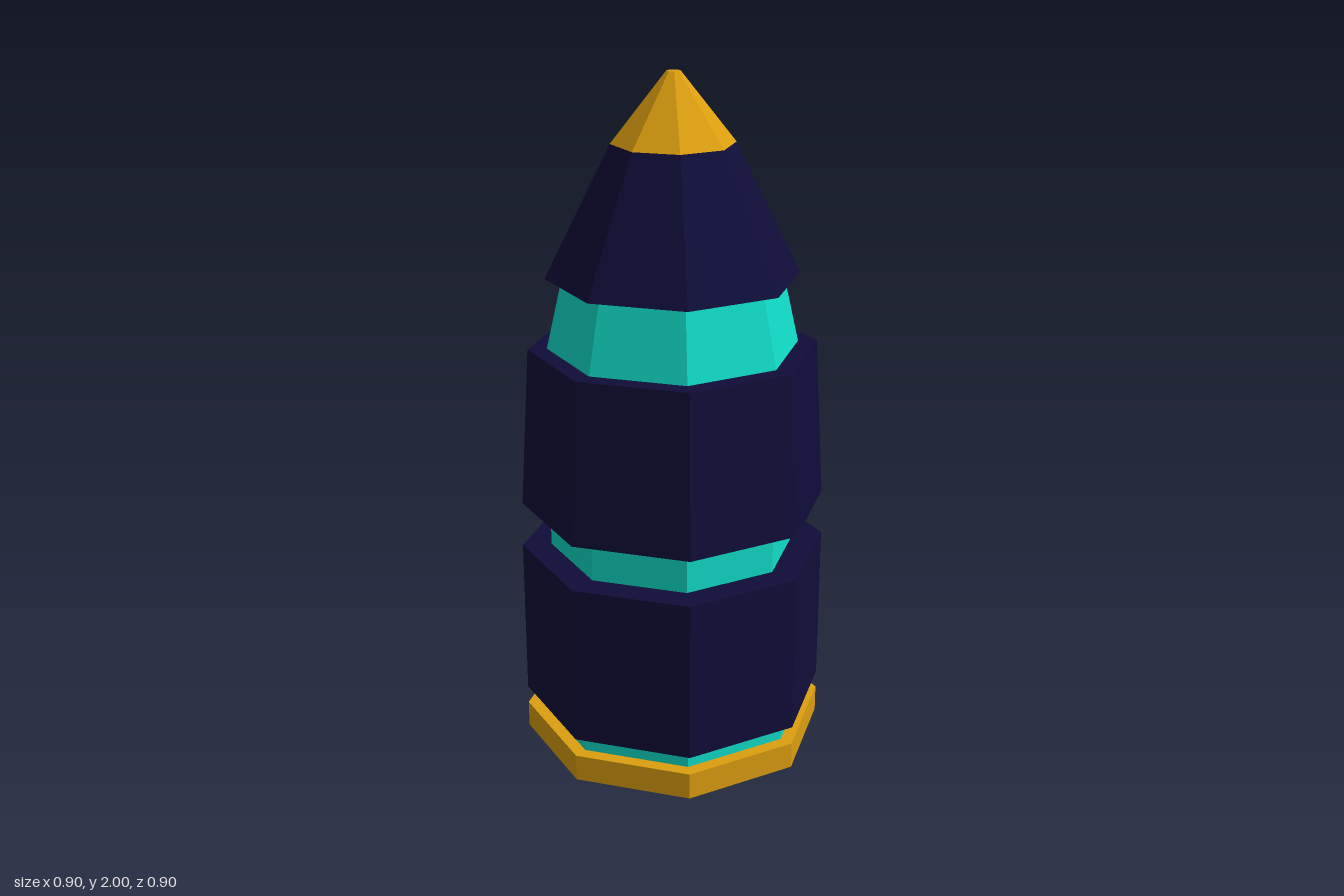
import * as THREE from 'three';

export function createModel() {
  const model = new THREE.Group();
  model.name = 'rocketShell';

  const material = (name, color) => {
    const m = new THREE.MeshStandardMaterial({ color, flatShading: true });
    m.name = name;
    return m;
  };
  const gold = material('gold', 0xdc9e10);
  const navy = material('navy', 0x0f0d38);
  const teal = material('teal', 0x10dcc8);

  // Each tier is an eight-sided frustum: bottom, top, bottom radius, top radius
  const tier = (name, mat, y0, y1, r0, r1, open = false) => {
    const geometry = new THREE.CylinderGeometry(r1, r0, y1 - y0, 8, 1, open);
    geometry.translate(0, (y0 + y1) / 2, 0);
    const mesh = new THREE.Mesh(geometry, mat);
    mesh.name = name;
    model.add(mesh);
  };

  // Base and lower body
  tier('basePlate', gold, 0, 0.08, 0.45, 0.45);
  tier('lowerNeck', teal, 0.08, 0.135, 0.41, 0.41, true);
  tier('lowerShell', navy, 0.135, 0.615, 0.45, 0.45);

  // Tapering middle body
  tier('middleNeck', teal, 0.615, 0.75, 0.365, 0.365, true);
  tier('middleShell', navy, 0.75, 1.225, 0.447, 0.417);

  // Nose with its blunt tip
  tier('upperNeck', teal, 1.225, 1.43, 0.362, 0.315, true);
  tier('noseCone', navy, 1.43, 1.805, 0.363, 0.175);
  tier('noseTip', gold, 1.805, 2, 0.175, 0.02);

  return model;
}
